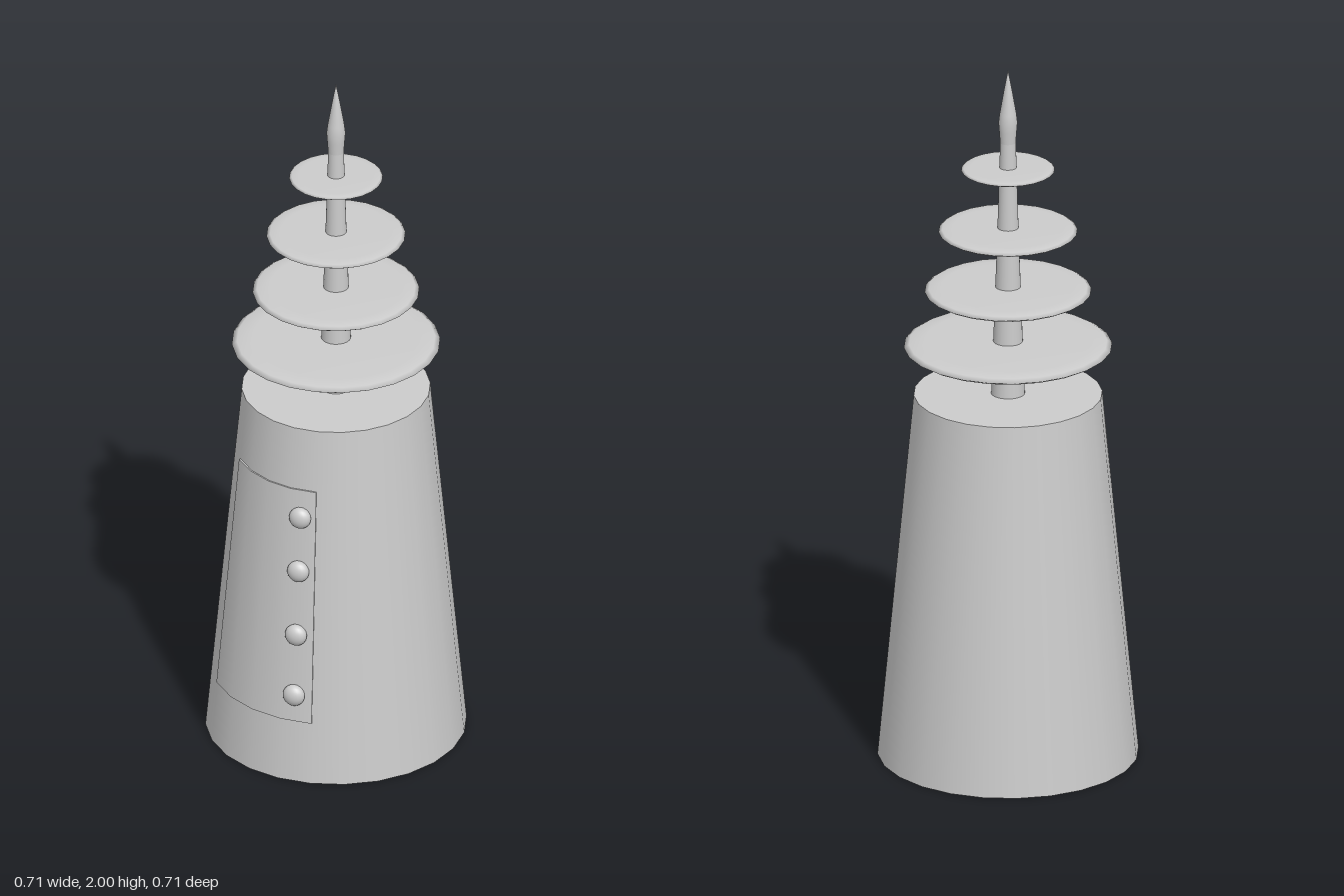
import * as THREE from 'three';

const SIDES = 24;
const HEIGHT = 1.05, R_BOTTOM = 0.357, R_TOP = 0.258;
const bodyRadius = (y) => R_BOTTOM + (R_TOP - R_BOTTOM) * (y / HEIGHT);

export function createModel() {
  const group = new THREE.Group();
  const material = new THREE.MeshStandardMaterial({ color: 0xcccccc });

  const add = (name, geometry, x = 0, y = 0, z = 0) => {
    const mesh = new THREE.Mesh(geometry, material);
    mesh.name = name;
    mesh.position.set(x, y, z);
    group.add(mesh);
    return mesh;
  };
  const lathe = (points, start = 0, length = Math.PI * 2, segments = SIDES) =>
    new THREE.LatheGeometry(points.map(([r, y]) => new THREE.Vector2(r, y)), segments, start, length);

  // Tapered body
  add('body', new THREE.CylinderGeometry(R_TOP, R_BOTTOM, HEIGHT, SIDES), 0, HEIGHT / 2, 0);

  // Thin curved door panel wrapped around the front
  const y0 = 0.18, y1 = 0.87, lift = 0.004;
  const arc = Math.PI / 3;
  const panel = add('doorPanel', lathe([
    [bodyRadius(y0) - 0.01, y0], [bodyRadius(y0) + lift, y0],
    [bodyRadius(y0) + lift, y0], [bodyRadius(y1) + lift, y1],
    [bodyRadius(y1) + lift, y1], [bodyRadius(y1) - 0.01, y1],
  ], -arc / 2, arc, 4));
  panel.material = new THREE.MeshStandardMaterial({ color: 0xcccccc, side: THREE.DoubleSide });

  // Narrow side edges of the panel
  for (const side of [-1, 1]) {
    const length = Math.hypot(y1 - y0, bodyRadius(y0) - bodyRadius(y1));
    const middle = (y0 + y1) / 2, r = bodyRadius(middle) + lift - 0.005, a = side * arc / 2;
    const edge = add('panelEdge', new THREE.BoxGeometry(0.002, length, 0.01),
      r * Math.sin(a), middle, r * Math.cos(a));
    edge.rotation.set(-Math.atan((R_BOTTOM - R_TOP) / HEIGHT), a, 0, 'YXZ');
  }

  // Column of flattened studs along the panel's left side
  const studAngle = 0.375;
  for (const y of [0.26, 0.44, 0.63, 0.79]) {
    const r = bodyRadius(y) + 0.007;
    const stud = add('stud', new THREE.SphereGeometry(0.031, 20, 14),
      r * Math.sin(studAngle), y, r * Math.cos(studAngle));
    stud.scale.z = 0.72;
    stud.rotation.y = studAngle;
  }

  // Tapering mast and pointed finial
  add('mast', lathe([[0.046, HEIGHT], [0.037, 1.3], [0.029, 1.53], [0.021, 1.8]]));
  add('finial', lathe([[0.021, 1.78], [0.024, 1.82], [0.026, 1.845], [0.023, 1.87], [0.011, 1.94], [0, 2]]));

  // Stacked discs with thin, tapered rims
  const discs = [[1.19, 0.285, 0.013], [1.352, 0.228, 0.011], [1.527, 0.19, 0.009], [1.707, 0.128, 0.006]];
  for (const [y, r, h] of discs) {
    add('disc', lathe([
      [0, -h], [r * 0.8, -h], [r * 0.95, -h * 0.65], [r, 0],
      [r * 0.95, h * 0.65], [r * 0.8, h], [0, h],
    ]), 0, y, 0);
  }

  return group;
}
